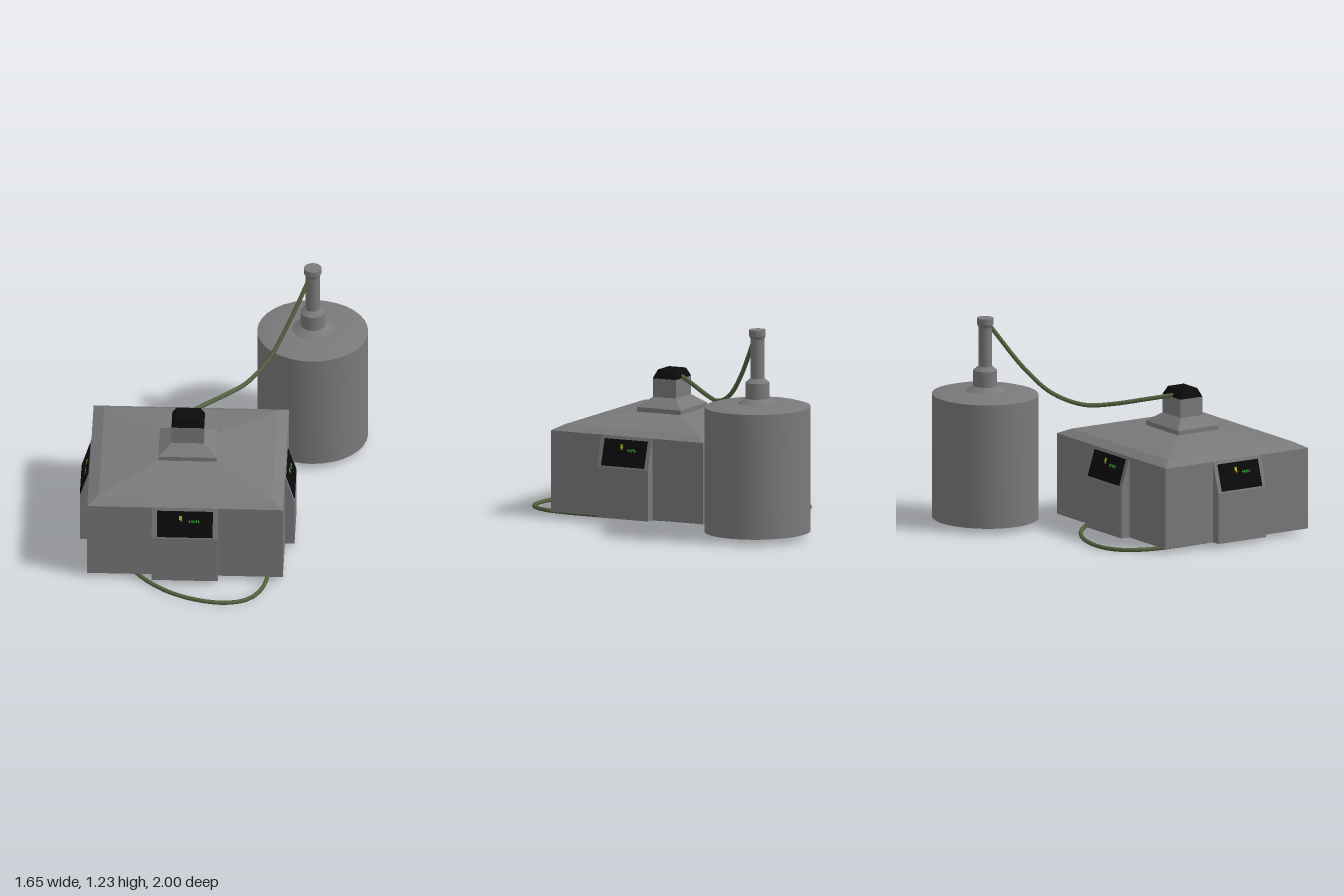
import * as THREE from 'three';
import { toCreasedNormals } from 'three/addons/utils/BufferGeometryUtils.js';

const mat = (name, color) => {
  const m = new THREE.MeshStandardMaterial({ color });
  m.name = name;
  return m;
};

// Stack of rectangles [y, halfX, halfZ] joined by flat walls and capped at both ends
function rectLoft(levels) {
  const pos = [];
  const ring = ([y, a, b]) => [[-a, y, b], [a, y, b], [a, y, -b], [-a, y, -b]];
  const quad = (a, b, c, d) => pos.push(...a, ...b, ...c, ...a, ...c, ...d);
  for (let i = 0; i < levels.length - 1; i++) {
    const lo = ring(levels[i]), hi = ring(levels[i + 1]);
    for (let k = 0; k < 4; k++) {
      const n = (k + 1) % 4;
      quad(lo[k], lo[n], hi[n], hi[k]);
    }
  }
  quad(...ring(levels[0]).reverse());
  quad(...ring(levels[levels.length - 1]));
  const g = new THREE.BufferGeometry();
  g.setAttribute('position', new THREE.Float32BufferAttribute(pos, 3));
  g.computeVertexNormals();
  return g;
}

export function createModel() {
  const metal = mat('grey metal', 0x7a7a7a);
  const black = mat('black', 0x0b0b0b);
  const rubber = mat('olive cable', 0x566040);
  const yellow = mat('yellow light', 0xa9b01e);
  const green = mat('green light', 0x2ca32c);

  const model = new THREE.Group();
  model.name = 'generator';
  const add = (parent, name, geo, m, x = 0, y = 0, z = 0) => {
    const mesh = new THREE.Mesh(geo, m);
    mesh.name = name;
    mesh.position.set(x, y, z);
    parent.add(mesh);
    return mesh;
  };

  // Main housing with its chimney
  const CX = -0.198, CZ = 0.232;
  const housing = new THREE.Group();
  housing.name = 'housing';
  housing.position.set(CX, 0, CZ);
  model.add(housing);
  add(housing, 'body', rectLoft([
    [0.025, 0.573, 0.502], [0.508, 0.573, 0.502], [0.54, 0.508, 0.442], [0.588, 0.17, 0.143],
  ]), metal);
  add(housing, 'chimney', rectLoft([
    [0.57, 0.17, 0.143], [0.615, 0.17, 0.143], [0.67, 0.095, 0.076], [0.782, 0.095, 0.076],
  ]), metal);
  add(housing, 'chimneyCap', rectLoft([[0.78, 0.096, 0.077], [0.83, 0.07, 0.056]]), black);

  // Console on each side: sloped box with a screen and small lights
  const OUT = 0.056, Y0 = 0.025, YS = 0.325, YT = 0.507;
  function addConsole(name, width, dist, turn) {
    const g = new THREE.Group();
    g.name = name;
    g.rotation.y = turn;
    housing.add(g);

    const profile = new THREE.Shape([
      new THREE.Vector2(dist - 0.05, Y0), new THREE.Vector2(dist + OUT, Y0),
      new THREE.Vector2(dist + OUT, YS), new THREE.Vector2(dist, YT),
      new THREE.Vector2(dist - 0.05, YT),
    ]);
    const geo = new THREE.ExtrudeGeometry(profile, { depth: width, bevelEnabled: false });
    geo.translate(0, 0, -width / 2).rotateY(-Math.PI / 2);
    add(g, 'consoleBox', geo, metal);

    const screen = new THREE.Group();
    screen.name = 'screen';
    const yc = 0.412, w = width * 0.845;
    screen.position.set(0, yc, dist + OUT * (YT - yc) / (YT - YS));
    screen.rotation.x = -Math.atan2(OUT, YT - YS);
    g.add(screen);
    add(screen, 'screenPlate', new THREE.BoxGeometry(w, 0.162, 0.008), black);
    const s = w / 0.325;
    const light = (n, m, x, y, lw, lh) =>
      add(screen, n, new THREE.BoxGeometry(lw * s, lh, 0.003), m, x * s, y, 0.0045);
    light('yellowLight', yellow, -0.026, 0.04, 0.018, 0.024);
    light('yellowLightTail', yellow, -0.022, 0.025, 0.009, 0.012);
    light('greenTrace', green, 0.052, 0.019, 0.066, 0.004);
    for (let i = 0; i < 5; i++) {
      light('greenBar', green, 0.028 + i * 0.013, 0.019 + (i % 2 ? 0.002 : -0.002), 0.005, 0.018);
    }
  }
  addConsole('frontConsole', 0.387, 0.502, 0);
  addConsole('backConsole', 0.387, 0.502, Math.PI);
  addConsole('leftConsole', 0.335, 0.573, Math.PI / 2);
  addConsole('rightConsole', 0.335, 0.573, -Math.PI / 2);

  // Tank with stepped neck and collar, slightly oval
  const tankProfile = [
    [0, 0.035], [0.325, 0.035], [0.325, 0.775], [0.27, 0.79], [0.12, 0.795],
    [0.073, 0.825], [0.073, 0.918], [0.042, 0.942], [0.042, 1.175],
    [0.051, 1.195], [0.051, 1.23], [0, 1.23],
  ].map(([r, y]) => new THREE.Vector2(r, y));
  const tank = add(model, 'tank',
    toCreasedNormals(new THREE.LatheGeometry(tankProfile, 32), 0.25), metal, 0.497, 0, -0.693);
  tank.scale.z = 0.945;

  // Cable hanging between chimney and tank neck
  const hang = new THREE.CatmullRomCurve3([
    [-0.2, 0.79, 0.17], [-0.1, 0.762, 0.04], [0.02, 0.73, -0.11], [0.13, 0.72, -0.24],
    [0.25, 0.785, -0.385], [0.35, 0.925, -0.51], [0.48, 1.175, -0.665],
  ].map(p => new THREE.Vector3(...p)));
  add(model, 'hangingCable', new THREE.TubeGeometry(hang, 40, 0.013, 8), rubber);

  // Closed cable loop lying under the housing, point-symmetric about its centre
  const half = [
    [-0.48, -0.5], [-0.44, -0.635], [-0.365, -0.72], [-0.235, -0.754], [-0.05, -0.722],
    [0.115, -0.64], [0.265, -0.5], [0.395, -0.28], [0.462, -0.03], [0.485, 0.24],
  ];
  const loop = [...half, ...half.map(([x, z]) => [-x, -z])]
    .map(([x, z]) => new THREE.Vector3(CX + x, 0.0125, CZ + z));
  add(model, 'groundCable',
    new THREE.TubeGeometry(new THREE.CatmullRomCurve3(loop, true), 80, 0.0125, 8, true), rubber);

  return model;
}
